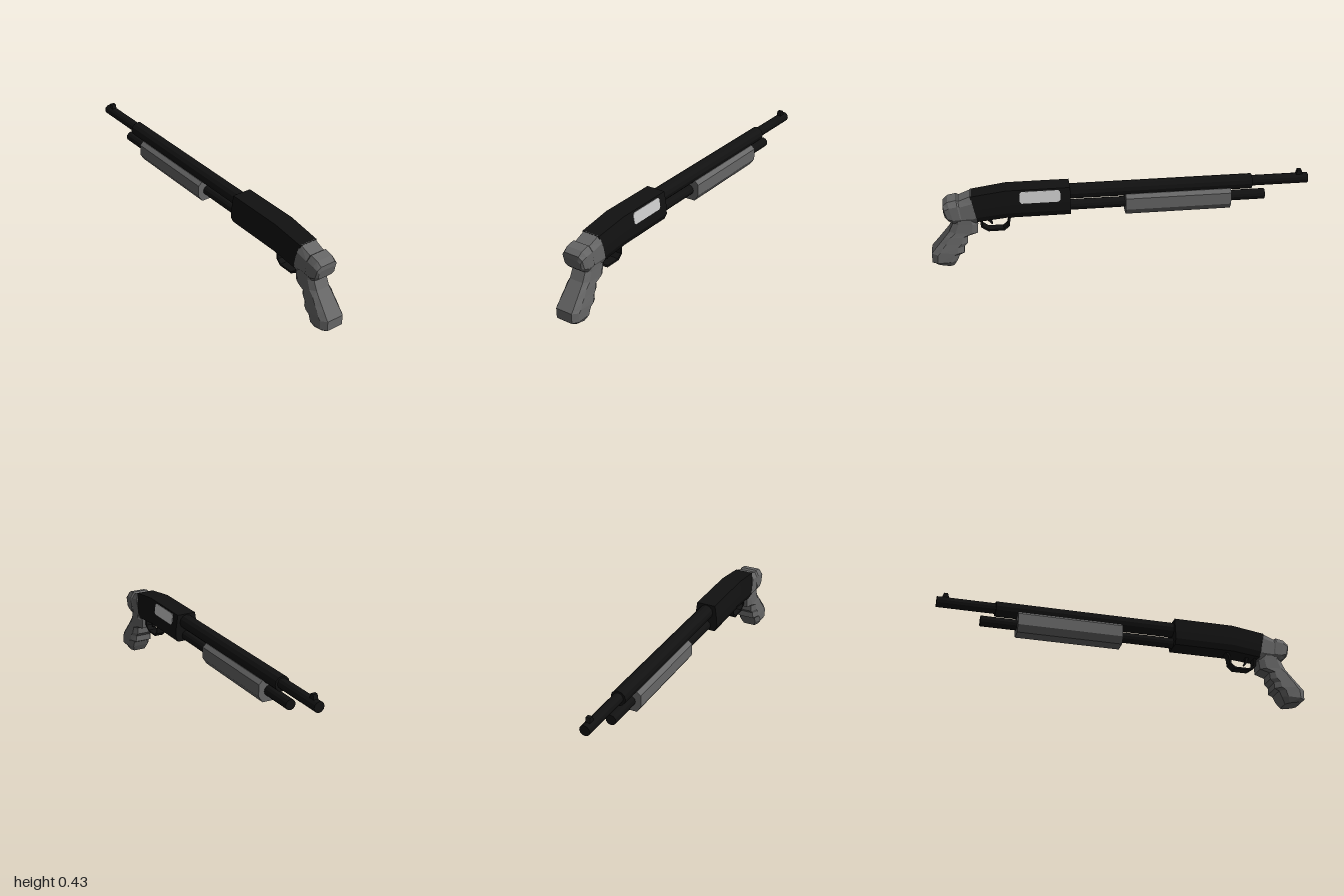
import * as THREE from 'three';

const BLACK = 0x111111, GREY = 0x666666;
const material = (color) => new THREE.MeshStandardMaterial({ color, flatShading: true });

function addMesh(group, name, geometry, color) {
  const mesh = new THREE.Mesh(geometry, material(color));
  mesh.name = name;
  group.add(mesh);
  return mesh;
}

// Half sections: [share of half width, share of the way from first edge to second edge]
const GRIP_SECTION = [[0.7, 0], [1, 0.22], [1, 0.78], [0.7, 1]];
const BODY_SECTION = [[0.8, 0], [0.97, 0.5], [1, 0.8], [0.8, 1]];
const PUMP_SECTION = [[0.65, 0], [1, 0.16], [1, 0.7], [0.6, 1]];

// Loft through rings [z0, y0, z1, y1, halfWidth], mirrored in x and capped at both ends
function loft(rings, half) {
  const section = [...half, ...half.map(([s, t]) => [-s, t]).reverse()];
  const n = section.length;
  const loops = rings.map(([z0, y0, z1, y1, w]) =>
    section.map(([s, t]) => [s * w, y0 + (y1 - y0) * t, z0 + (z1 - z0) * t]));
  const out = [];
  const tri = (a, b, c) => out.push(...a, ...b, ...c);
  for (let r = 0; r < loops.length - 1; r++) {
    const a = loops[r], b = loops[r + 1];
    for (let i = 0; i < n; i++) {
      const j = (i + 1) % n;
      tri(a[i], a[j], b[j]);
      tri(a[i], b[j], b[i]);
    }
  }
  const first = loops[0], last = loops[loops.length - 1];
  for (let i = 1; i < n - 1; i++) {
    tri(first[0], first[i + 1], first[i]);
    tri(last[0], last[i], last[i + 1]);
  }
  const geometry = new THREE.BufferGeometry();
  geometry.setAttribute('position', new THREE.Float32BufferAttribute(out, 3));
  geometry.computeVertexNormals();
  return geometry;
}

// Round bar along z
function bar(radius, y, zBack, zFront, sides = 12) {
  return new THREE.CylinderGeometry(radius, radius, zBack - zFront, sides)
    .rotateX(Math.PI / 2).translate(0, y, (zBack + zFront) / 2);
}

// Side outline of [z, y] points, extruded across x about the centre
function plate(points, width) {
  const shape = new THREE.Shape(points.map(([z, y]) => new THREE.Vector2(-z, y)));
  return new THREE.ExtrudeGeometry(shape, { depth: width, bevelEnabled: false })
    .translate(0, 0, -width / 2).rotateY(Math.PI / 2);
}

export function createModel() {
  const model = new THREE.Group();
  model.name = 'pumpShotgun';

  // Receiver with a sloping rear
  addMesh(model, 'receiver', loft([
    [0.785, 0.4, 0.755, 0.255, 0.062],
    [0.6, 0.425, 0.6, 0.272, 0.066],
    [0.27, 0.425, 0.27, 0.272, 0.066],
  ], BODY_SECTION), BLACK);

  // Ejection port lying on the slanted left side
  const port = addMesh(model, 'ejectionPort', plate([
    [0.105, 0.02], [0.095, 0.031], [-0.095, 0.031], [-0.105, 0.02],
    [-0.105, -0.022], [-0.095, -0.032], [0.095, -0.032], [0.105, -0.022],
  ], 0.005), 0xcccccc);
  port.position.set(0.0587, 0.385, 0.427);
  port.rotation.z = 0.14;

  // Barrel, its thicker sleeve and the magazine tube
  addMesh(model, 'barrel', bar(0.028, 0.382, 0.28, -1), BLACK);
  addMesh(model, 'barrelSleeve', bar(0.04, 0.38, 0.28, -0.695), BLACK);
  addMesh(model, 'magazineTube', bar(0.028, 0.301, 0.28, -0.77), BLACK);

  // Front sight
  addMesh(model, 'frontSight', plate([
    [-0.935, 0.4], [-0.945, 0.432], [-0.965, 0.432], [-0.975, 0.4],
  ], 0.024), BLACK);

  // Sliding fore-end
  addMesh(model, 'pump', loft([
    [-0.02, 0.36, -0.02, 0.245, 0.058],
    [-0.58, 0.36, -0.58, 0.245, 0.058],
  ], PUMP_SECTION), GREY);

  // Stock head behind the receiver, with a raised rear cap
  addMesh(model, 'stockHead', loft([
    [0.925, 0.33, 0.915, 0.28, 0.05],
    [0.925, 0.355, 0.9, 0.265, 0.06],
    [0.9, 0.375, 0.87, 0.25, 0.064],
    [0.855, 0.384, 0.835, 0.25, 0.064],
    [0.845, 0.376, 0.83, 0.25, 0.06],
    [0.78, 0.401, 0.75, 0.245, 0.062],
  ], GRIP_SECTION), GREY);

  // Pistol grip with stepped finger ridges
  addMesh(model, 'grip', loft([
    [0.985, 0.018, 0.89, 0, 0.048],
    [1, 0.032, 0.87, 0.035, 0.066],
    [1, 0.085, 0.855, 0.068, 0.067],
    [0.99, 0.097, 0.83, 0.08, 0.067],
    [0.968, 0.123, 0.83, 0.115, 0.064],
    [0.953, 0.141, 0.81, 0.135, 0.062],
    [0.925, 0.175, 0.808, 0.173, 0.059],
    [0.902, 0.203, 0.755, 0.188, 0.056],
    [0.88, 0.25, 0.75, 0.24, 0.055],
    [0.88, 0.3, 0.77, 0.29, 0.055],
  ], GRIP_SECTION), GREY);

  // Trigger guard: an outer curve and the same curve offset inward
  const outer = [[0.742, 0.275], [0.737, 0.21], [0.7, 0.184], [0.615, 0.184],
    [0.588, 0.208], [0.583, 0.25], [0.56, 0.28]];
  const inner = [[0.578, 0.28], [0.594, 0.252], [0.598, 0.213], [0.62, 0.194],
    [0.697, 0.194], [0.727, 0.215], [0.731, 0.275]];
  addMesh(model, 'triggerGuard', plate([...outer, ...inner], 0.05), BLACK);

  // Trigger
  addMesh(model, 'trigger', plate([
    [0.705, 0.28], [0.7, 0.24], [0.68, 0.215], [0.674, 0.22], [0.686, 0.243], [0.685, 0.28],
  ], 0.018), BLACK);

  return model;
}
